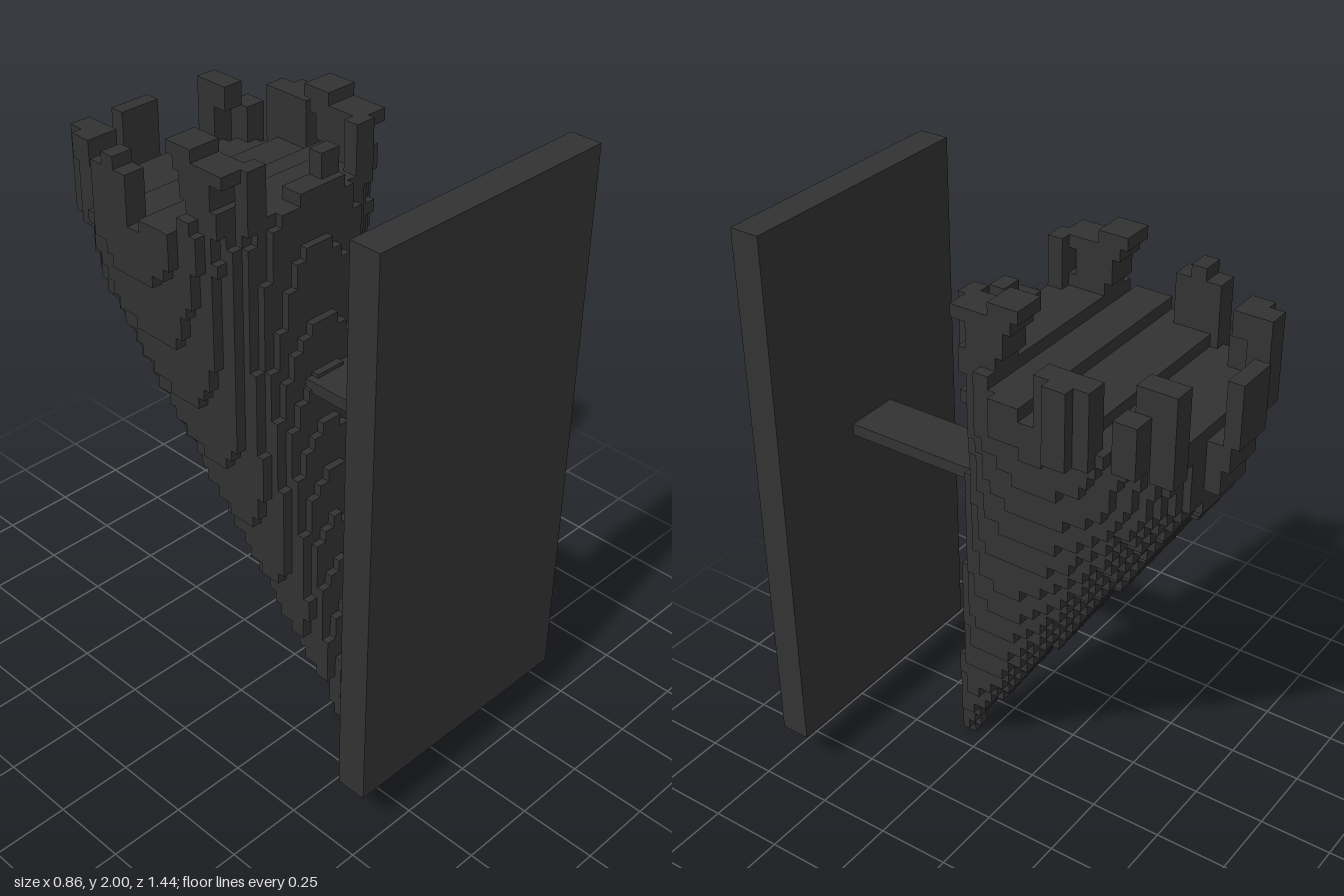
import * as THREE from 'three';

// Cell size of the block grid along x, y, z, and the grid's low corner
const CELL = [0.0357, 0.04, 0.0247];
const LOW = [-0.427, 0, -0.722];
const COUNT = [24, 49, 43];

// Crown prongs: [x0, x1, y0, y1, z0, z1]
const PRONGS = [
  [-0.07, 0.11, 1.7, 1.8, 0.03, 0.1],       // front centre
  [0.04, 0.11, 1.8, 1.9, 0.03, 0.08],
  [-0.33, -0.25, 1.56, 1.76, -0.58, -0.5],  // back left
  [-0.28, -0.21, 1.56, 1.84, -0.65, -0.58],
  [-0.33, -0.21, 1.76, 1.84, -0.6, -0.52],
  [0.2, 0.29, 1.56, 1.84, -0.65, -0.58],    // back right
  [0.2, 0.29, 1.76, 1.84, -0.58, -0.52],
  [0.29, 0.36, 1.6, 1.76, -0.58, -0.5],
  [0.33, 0.4, 1.6, 1.84, -0.44, -0.27],     // right
  [0.39, 0.44, 1.6, 1.83, -0.4, -0.32],
  [-0.4, -0.32, 1.6, 1.84, -0.42, -0.27],   // left
  [-0.4, -0.32, 1.8, 1.88, -0.37, -0.32],
  [-0.06, 0.09, 1.44, 1.52, -0.67, -0.6],   // back
  [-0.06, 0.09, 1.52, 1.6, -0.7, -0.62],
  [-0.06, 0.09, 1.6, 1.8, -0.73, -0.67],
];

// Hooked front prongs, mirrored left and right
for (const s of [1, -1]) {
  const pair = [
    [0.17, 0.25, 1.7, 1.92, 0.03, 0.07],
    [0.2, 0.32, 1.7, 1.8, -0.11, 0.03],
    [0.22, 0.32, 1.8, 1.88, -0.12, 0],
    [0.22, 0.32, 1.88, 1.92, -0.15, 0.05],
    [0.22, 0.32, 1.92, 1.96, -0.19, -0.08],
  ];
  for (const [x0, x1, ...rest] of pair)
    PRONGS.push([Math.min(s * x0, s * x1), Math.max(s * x0, s * x1), ...rest]);
}

// Stepped floor inside the crown, lower toward the back
function floorHeight(z) {
  if (z > -0.1) return 1.76;
  if (z > -0.24) return 1.72;
  if (z > -0.39) return 1.68;
  return 1.64;
}

// Leaning cone with rounded-square cross-sections: width grows to the crown, depth stops earlier
function inCone(x, y, z) {
  if (y > floorHeight(z)) return false;
  const tx = Math.min(y, 1.63);
  const tz = Math.min(y, 1.4);
  const cx = -0.08 + 0.048 * tx;
  const rx = 0.018 + 0.23 * tx;
  const cz = 0.337 - 0.42 * tz - 0.06 * (y - tz);
  const rz = 0.006 + 0.267 * tz - 0.04 * (y - tz);
  return Math.abs((x - cx) / rx) ** 2.4 + Math.abs((z - cz) / rz) ** 2.4 < 1;
}

function inProng(x, y, z) {
  return PRONGS.some(([x0, x1, y0, y1, z0, z1]) =>
    x > x0 && x < x1 && y > y0 && y < y1 && z > z0 && z < z1);
}

// Small tip block at the foot of the cone
function inTip(x, y, z) {
  return y < 0.08 && Math.abs(x + 0.088) < 0.018 && z > 0.3 - y * 0.5 && z < 0.345;
}

// Outer faces of every filled cell in the grid
function blockGeometry(isSolid) {
  const filled = (c) => {
    if (c.some((v, a) => v < 0 || v >= COUNT[a])) return false;
    return isSolid(...c.map((v, a) => LOW[a] + (v + 0.5) * CELL[a]));
  };
  const positions = [];
  const square = [[0, 0], [1, 0], [1, 1], [0, 1]];
  for (let i = 0; i < COUNT[0]; i++)
    for (let j = 0; j < COUNT[1]; j++)
      for (let k = 0; k < COUNT[2]; k++) {
        const cell = [i, j, k];
        if (!filled(cell)) continue;
        for (let axis = 0; axis < 3; axis++)
          for (const side of [0, 1]) {
            const next = [...cell];
            next[axis] += side ? 1 : -1;
            if (filled(next)) continue;
            const corners = square.map(([u, w]) => {
              const p = [...cell];
              p[axis] += side;
              p[(axis + 1) % 3] += u;
              p[(axis + 2) % 3] += w;
              return p.map((v, a) => LOW[a] + v * CELL[a]);
            });
            if (!side) corners.reverse();
            for (const n of [0, 1, 2, 0, 2, 3]) positions.push(...corners[n]);
          }
      }
  const geometry = new THREE.BufferGeometry();
  geometry.setAttribute('position', new THREE.Float32BufferAttribute(positions, 3));
  geometry.computeVertexNormals();
  return geometry;
}

export function createModel() {
  const model = new THREE.Group();
  model.name = 'wallMountedTorch';
  const charcoal = new THREE.MeshStandardMaterial({ color: 0x323232 });
  charcoal.name = 'charcoal';

  const add = (name, geometry, x = 0, y = 0, z = 0) => {
    const mesh = new THREE.Mesh(geometry, charcoal);
    mesh.name = name;
    mesh.position.set(x, y, z);
    model.add(mesh);
  };

  // Wall plate and the flat arm holding the cone
  add('wallPlate', new THREE.BoxGeometry(0.862, 1.833, 0.1), 0, 1.0835, 0.672);
  add('supportArm', new THREE.BoxGeometry(0.186, 0.04, 0.52), -0.002, 1.208, 0.37);

  // Leaning stepped cone with its crown
  add('coneAndCrown', blockGeometry((x, y, z) =>
    inCone(x, y, z) || inProng(x, y, z) || inTip(x, y, z)));

  return model;
}
